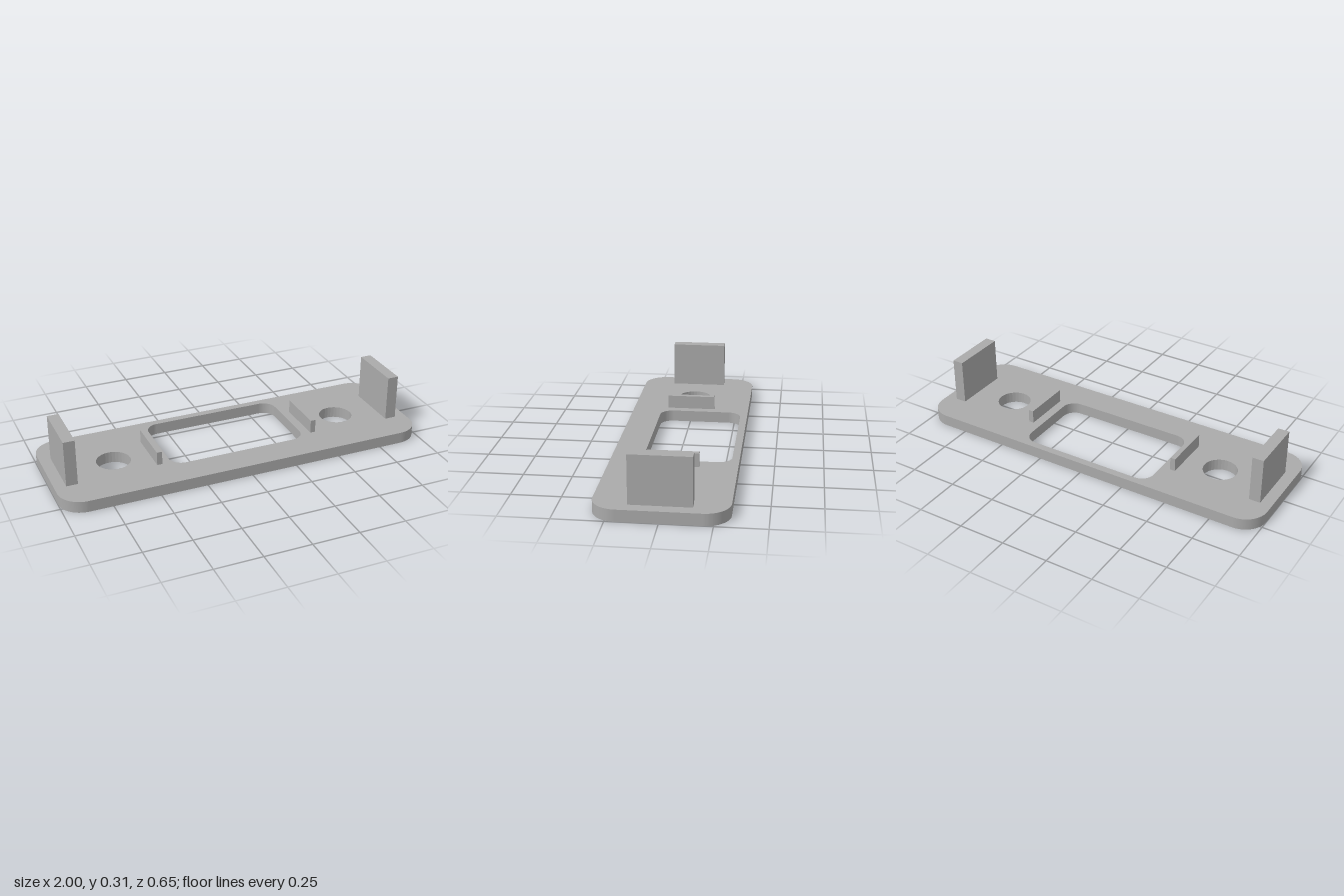
import * as THREE from 'three';

// Rounded rectangle outline, traced on a Shape or a Path
function roundedRect(path, x0, y0, x1, y1, r) {
  path.moveTo(x0 + r, y0);
  path.lineTo(x1 - r, y0);
  path.absarc(x1 - r, y0 + r, r, -Math.PI / 2, 0);
  path.lineTo(x1, y1 - r);
  path.absarc(x1 - r, y1 - r, r, 0, Math.PI / 2);
  path.lineTo(x0 + r, y1);
  path.absarc(x0 + r, y1 - r, r, Math.PI / 2, Math.PI);
  path.lineTo(x0, y0 + r);
  path.absarc(x0 + r, y0 + r, r, Math.PI, Math.PI * 1.5);
  return path;
}

export function createModel() {
  const group = new THREE.Group();
  const grey = new THREE.MeshStandardMaterial({ color: 0xaaaaaa });
  grey.name = 'grey';

  const plateTop = 0.061;

  // Base plate: shape y becomes -z once laid flat
  const outline = roundedRect(new THREE.Shape(), -1, -0.325, 1, 0.325, 0.125);
  outline.holes.push(roundedRect(new THREE.Path(), -0.377, -0.163, 0.377, 0.287, 0.07));
  for (const side of [-1, 1]) {
    outline.holes.push(new THREE.Path().absarc(side * 0.646, 0, 0.09, 0, Math.PI * 2, true));
  }
  const plateGeometry = new THREE.ExtrudeGeometry(outline, {
    depth: plateTop, bevelEnabled: false, curveSegments: 16,
  });
  plateGeometry.rotateX(-Math.PI / 2);
  const plate = new THREE.Mesh(plateGeometry, grey);
  plate.name = 'basePlate';
  group.add(plate);

  // Upright standing on the plate, mirrored left and right
  function addUprights(name, x, width, top, depth) {
    for (const side of [-1, 1]) {
      const height = top - plateTop;
      const mesh = new THREE.Mesh(new THREE.BoxGeometry(width, height, depth), grey);
      mesh.position.set(side * x, plateTop + height / 2, 0);
      mesh.name = (side > 0 ? 'left' : 'right') + name;
      group.add(mesh);
    }
  }
  addUprights('EndTab', 0.909, 0.06, 0.308, 0.302);
  addUprights('InnerRib', 0.439, 0.028, 0.133, 0.263);

  return group;
}
